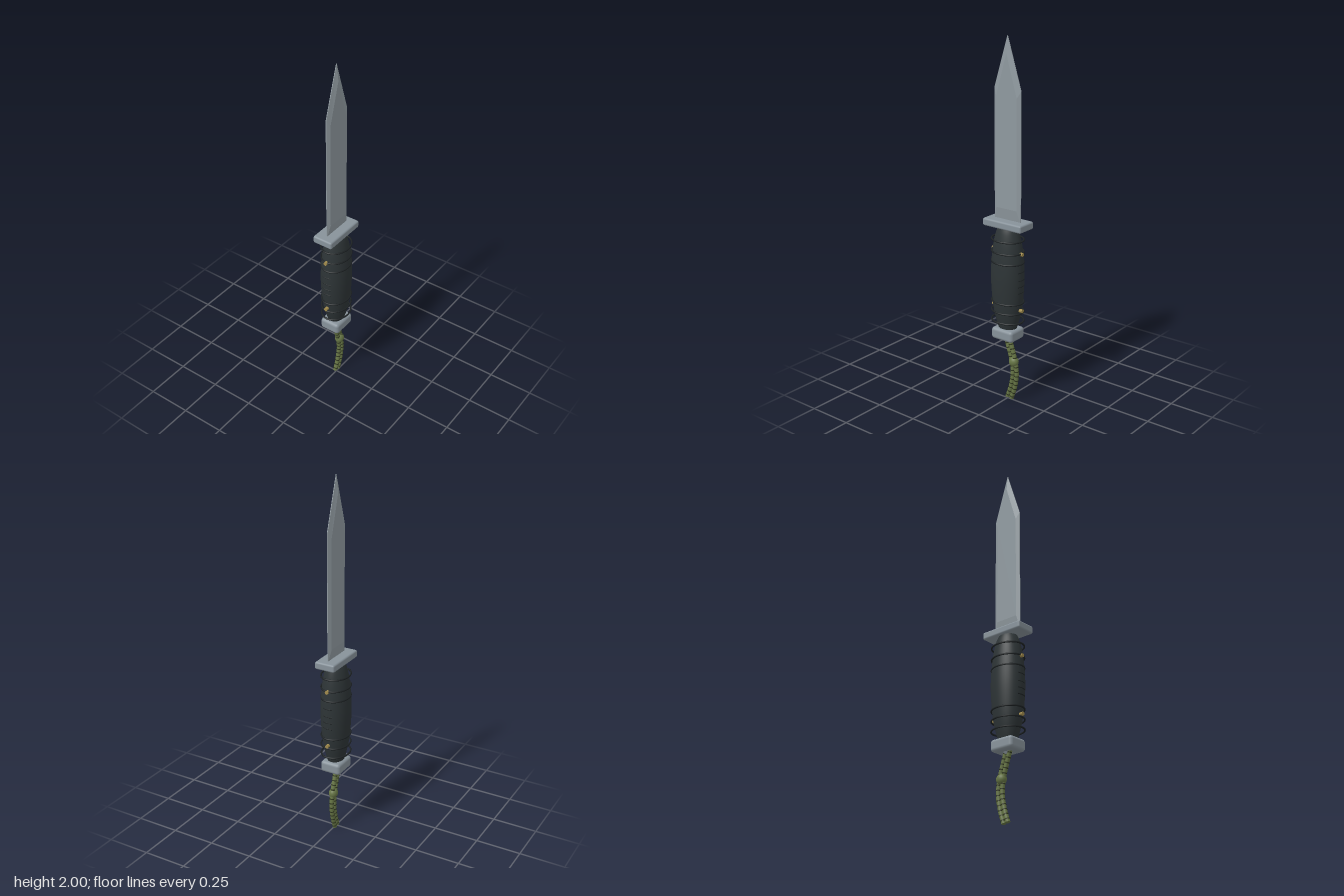
import * as THREE from 'three';
import { RoundedBoxGeometry } from 'three/addons/geometries/RoundedBoxGeometry.js';

const mat = (color, extra = {}) => Object.assign(new THREE.MeshStandardMaterial(extra), { color: new THREE.Color(color) });
const bladeSteel = mat(0x8f999f, { flatShading: true });
const steel = mat(0x87929a);
const rubber = mat(0x2d3436);
const ringBlack = mat(0x1d2224);
const brass = mat(0xa08a4c);
const olive = mat(0x667545);
const darkCord = mat(0x30371f);

const HANDLE_FLATTEN = 0.82;

// Faceted blade: a thin outer edge loop rising to a flat inner panel on each side
function bladeGeometry() {
  const outer = [[-0.085, 1.03], [0.087, 1.03], [0.087, 1.725], [0, 2], [-0.085, 1.73]];
  const inner = [[-0.066, 1.1], [0.066, 1.1], [0.066, 1.69], [0, 1.91], [-0.066, 1.69]];
  const loops = [
    inner.map(([x, y]) => [x, y, 0.012]),
    outer.map(([x, y]) => [x, y, 0.002]),
    outer.map(([x, y]) => [x, y, -0.002]),
    inner.map(([x, y]) => [x, y, -0.012]),
  ];
  const n = outer.length;
  const index = [];
  for (let k = 0; k < 3; k++) {
    for (let i = 0; i < n; i++) {
      const j = (i + 1) % n;
      const a = k * n + i, b = k * n + j, c = a + n, d = b + n;
      index.push(a, c, b, b, c, d);
    }
  }
  for (let i = 1; i < n - 1; i++) {
    index.push(0, i, i + 1);
    index.push(3 * n, 3 * n + i + 1, 3 * n + i);
  }
  const g = new THREE.BufferGeometry();
  g.setAttribute('position', new THREE.Float32BufferAttribute(loops.flat(2), 3));
  g.setIndex(index);
  const flat = g.toNonIndexed();
  flat.computeVertexNormals();
  return flat;
}

export function createModel() {
  const model = new THREE.Group();
  model.name = 'knife';

  const add = (parent, name, geometry, material, x = 0, y = 0, z = 0) => {
    const mesh = new THREE.Mesh(geometry, material);
    mesh.name = name;
    mesh.position.set(x, y, z);
    parent.add(mesh);
    return mesh;
  };

  add(model, 'blade', bladeGeometry(), bladeSteel);

  // Guard and pommel
  add(model, 'guard', new RoundedBoxGeometry(0.252, 0.042, 0.116, 4, 0.01), steel, 0, 1.019, -0.001);
  add(model, 'pommel', new RoundedBoxGeometry(0.142, 0.066, 0.118, 4, 0.018), steel, 0, 0.397, 0);

  // Barrel-shaped grip, flattened front to back
  const handle = new THREE.Group();
  handle.name = 'handle';
  handle.scale.z = HANDLE_FLATTEN;
  model.add(handle);
  const profile = new THREE.SplineCurve([
    [0.05, 0.42], [0.063, 0.46], [0.08, 0.53], [0.091, 0.62], [0.096, 0.72],
    [0.092, 0.82], [0.081, 0.91], [0.066, 0.97], [0.053, 1.0],
  ].map(([r, y]) => new THREE.Vector2(r, y)));
  add(handle, 'grip', new THREE.LatheGeometry(profile.getPoints(32), 40), rubber);

  // Grip rings, standing clear of the grip near its ends
  const ringGeometry = new THREE.TorusGeometry(0.092, 0.005, 8, 48);
  for (const y of [0.475, 0.53, 0.585, 0.81, 0.868, 0.935]) {
    add(handle, 'gripRing', ringGeometry, ringBlack, 0, y, 0).rotation.x = Math.PI / 2;
  }

  // Short raised ridges on both edges of the grip
  const ridgeArc = new THREE.TorusGeometry(0.0945, 0.003, 6, 12, 0.7);
  [0.65, 0.685, 0.72, 0.765].forEach((y) => {
    for (const turn of [-0.35, Math.PI - 0.35]) {
      const ridge = add(handle, 'gripRidge', ridgeArc, ringBlack, 0, y, 0);
      ridge.rotation.set(Math.PI / 2, 0, turn);
    }
  });

  // Brass pins through the grip
  const pinGeometry = new THREE.CylinderGeometry(0.01, 0.01, 0.204, 16);
  for (const y of [0.545, 0.865]) {
    add(model, 'pin', pinGeometry, brass, 0, y, 0).rotation.z = Math.PI / 2;
  }

  // Lanyard: two cords with dark bands, tied by a knot
  const lanyard = new THREE.Group();
  lanyard.name = 'lanyard';
  lanyard.position.z = -0.005;
  model.add(lanyard);
  const up = new THREE.Vector3(0, 1, 0);
  const bandGeometry = new THREE.CylinderGeometry(0.0135, 0.0135, 0.006, 12);
  for (const side of [-1, 1]) {
    const path = new THREE.CatmullRomCurve3([
      [-0.006, 0.37], [0.014, 0.31], [0.035, 0.24], [0.045, 0.16], [0.033, 0.08], [0.01, 0.008],
    ].map(([x, y]) => new THREE.Vector3(x + side * 0.013, y - side * 0.002, 0)));
    add(lanyard, 'cord', new THREE.TubeGeometry(path, 40, 0.0125, 12), olive);
    const count = 14;
    for (let i = 0; i < count; i++) {
      const t = (i + 0.5) / count;
      const p = path.getPointAt(t);
      const band = add(lanyard, 'cordBand', bandGeometry, darkCord, p.x, p.y, p.z);
      band.quaternion.setFromUnitVectors(up, path.getTangentAt(t));
    }
    // Closed cord tip
    const end = path.getPoint(1);
    const tip = add(lanyard, 'cordTip', new THREE.CylinderGeometry(0.0125, 0.0125, 0.006, 12), olive, end.x, end.y, end.z);
    tip.quaternion.setFromUnitVectors(up, path.getTangent(1));
  }
  add(lanyard, 'knot', new THREE.SphereGeometry(0.029, 20, 14), olive, 0.038, 0.23, 0).scale.z = 0.85;

  // Metal eyelet under the pommel
  add(model, 'eyelet', new THREE.CylinderGeometry(0.026, 0.018, 0.016, 16), steel, 0, 0.36, 0);

  return model;
}
